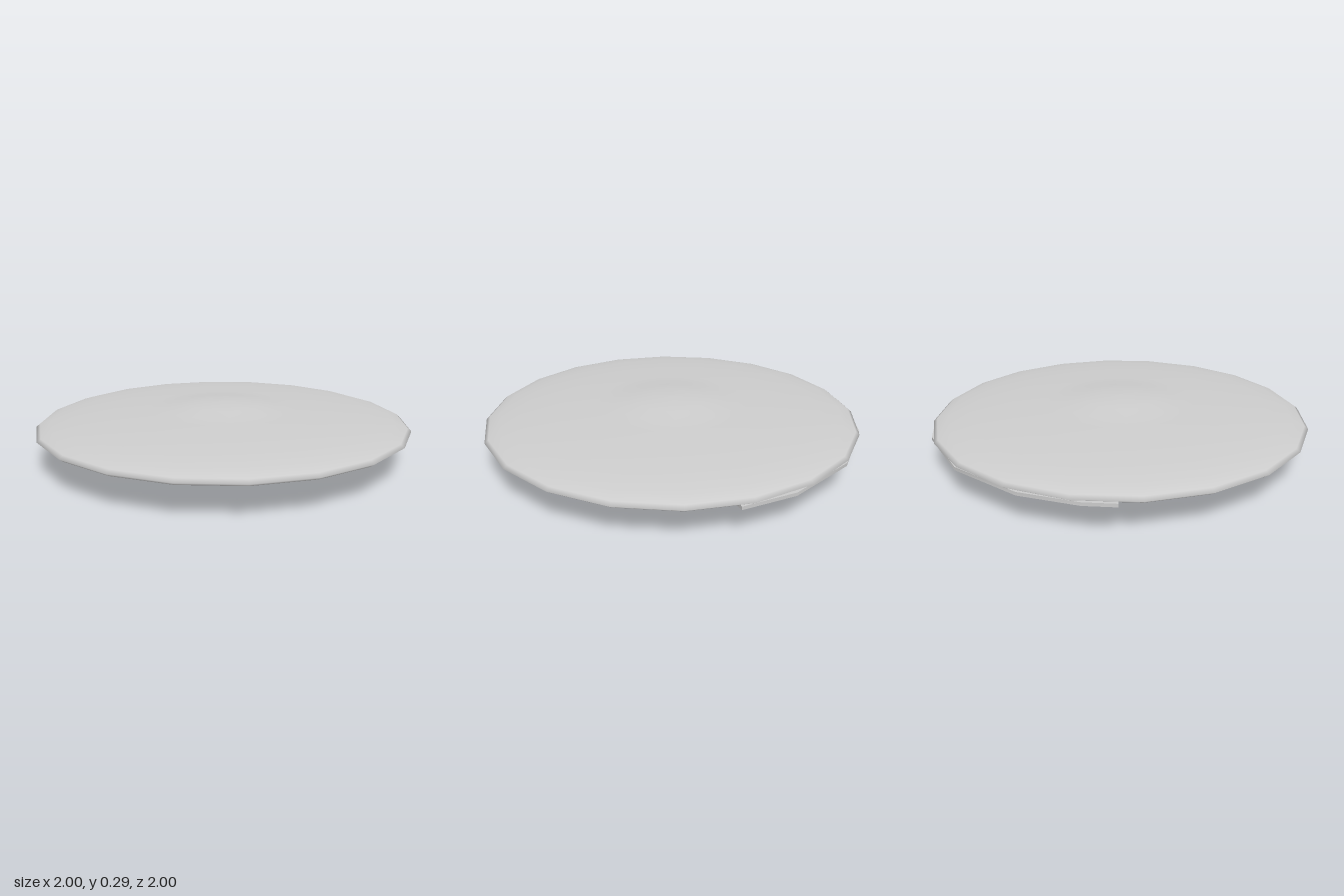
import * as THREE from 'three';
import { toCreasedNormals } from 'three/addons/utils/BufferGeometryUtils.js';

const grey = new THREE.MeshStandardMaterial({ color: 0xcccccc });
const greyBoth = new THREE.MeshStandardMaterial({ color: 0xcccccc, side: THREE.DoubleSide });

function addMesh(group, name, geometry, material) {
  const mesh = new THREE.Mesh(geometry, material);
  mesh.name = name;
  group.add(mesh);
}

// Skin a list of equally long cross-sections and close both ends
function loft(sections) {
  const n = sections[0].length;
  const index = [];
  for (let i = 0; i < sections.length - 1; i++) {
    for (let j = 0; j < n; j++) {
      const k = (j + 1) % n;
      const a = i * n + j, b = i * n + k, c = a + n, d = b + n;
      index.push(a, b, c, b, d, c);
    }
  }
  const last = (sections.length - 1) * n;
  for (let j = 1; j < n - 1; j++) {
    index.push(0, j + 1, j, last, last + j, last + j + 1);
  }
  const geometry = new THREE.BufferGeometry();
  geometry.setAttribute('position', new THREE.Float32BufferAttribute(sections.flat(2), 3));
  geometry.setIndex(index);
  return toCreasedNormals(geometry, 0.8);
}

export function createModel() {
  const group = new THREE.Group();

  // Saucer hull: twenty-sided, with a soft raised crown
  const profile = [
    [0, 0.085], [0.2, 0.087], [0.4, 0.093], [0.6, 0.104], [0.8, 0.123], [0.92, 0.144],
    [0.98, 0.163], [1, 0.178], [0.98, 0.194], [0.92, 0.213], [0.8, 0.233], [0.6, 0.252],
    [0.4, 0.261], [0.3, 0.267], [0.2, 0.284], [0.1, 0.292], [0, 0.295],
  ].map(([r, y]) => new THREE.Vector2(r, y));
  addMesh(group, 'saucerHull', new THREE.LatheGeometry(profile, 20), grey);

  // Curved belly fairing: a keel that flares outward, swept around the back
  const keel = [
    [0.5, 0.1], [0.57, 0.062], [0.595, 0.015], [0.65, 0.055], [0.71, 0.095],
    [0.8, 0.122], [0.92, 0.142], [1, 0.155], [1, 0.172], [0.8, 0.16],
  ];
  const angles = [-30, -21, -4, 19, 42, 58];
  addMesh(group, 'bellyFairing', loft(angles.map((deg, i) => {
    const a = THREE.MathUtils.degToRad(deg);
    return keel.map(([r, y], j) => {
      const radius = i === 0 && j > 0 && j < 5 ? r + 0.035 : r;
      return [radius * Math.sin(a), y, -radius * Math.cos(a)];
    });
  })), greyBoth);

  // Sloped wedge at the fairing's end; each section runs tip, outer edge, top
  const wedge = [
    [[0.58, 0, -0.26], [0.75, 0.1, -0.33], [0.74, 0.125, -0.33], [0.58, 0.11, -0.26]],
    [[0.4, 0, -0.44], [0.53, 0.1, -0.57], [0.52, 0.125, -0.57], [0.4, 0.11, -0.44]],
  ];
  addMesh(group, 'bellyWedge', loft([wedge[1], wedge[0]]), greyBoth);

  return group;
}
